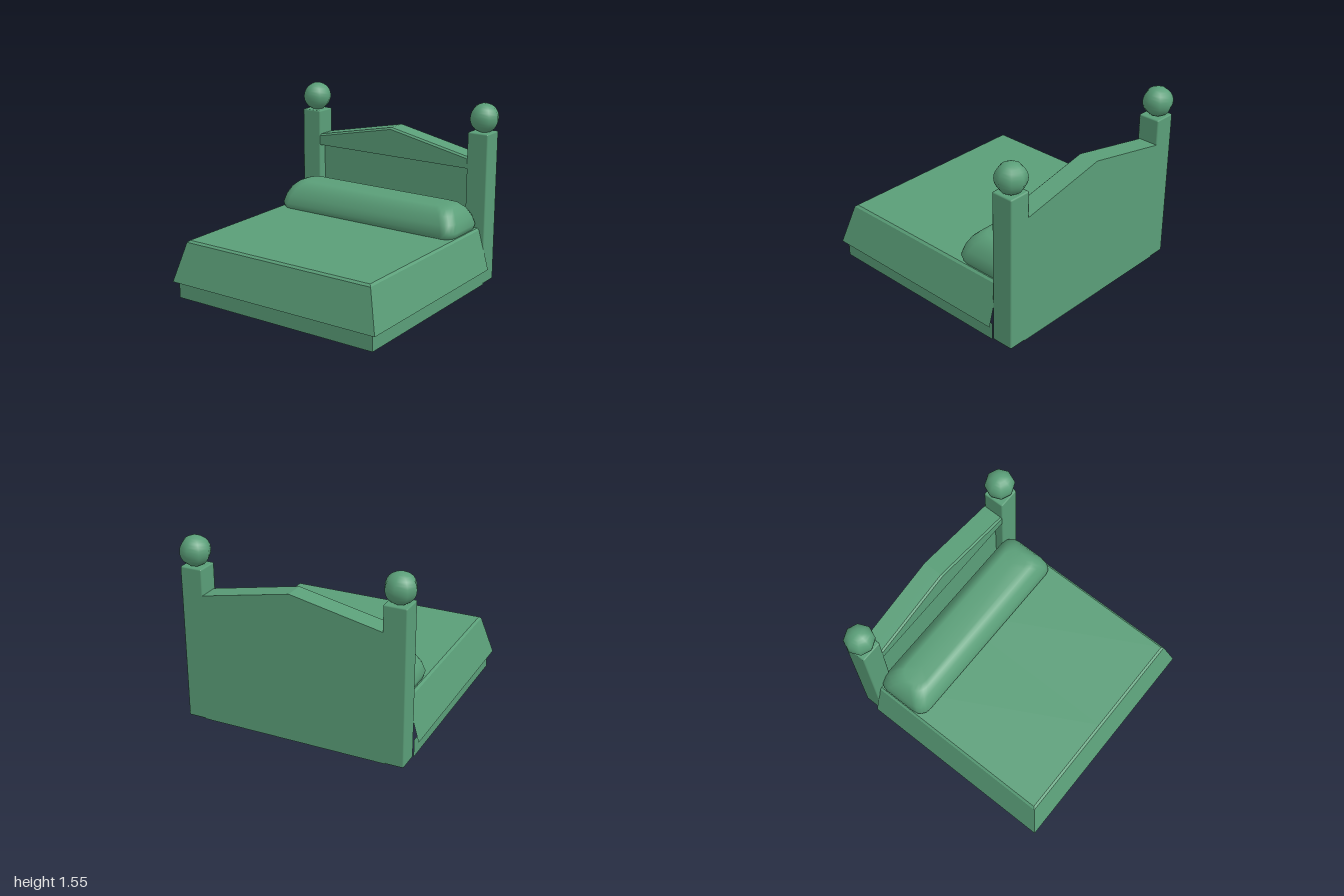
import * as THREE from 'three';
import { RoundedBoxGeometry } from 'three/addons/geometries/RoundedBoxGeometry.js';

const material = new THREE.MeshStandardMaterial({ color: 0x5a9e78 });
const thinMaterial = new THREE.MeshStandardMaterial({ color: 0x5a9e78, side: THREE.DoubleSide });

function addPart(parent, name, geometry, mat = material) {
  const mesh = new THREE.Mesh(geometry, mat);
  mesh.name = name;
  parent.add(mesh);
  return mesh;
}

// Skin a stack of rings (lists of [x, y, z]), bottom ring first
function loft(rings, closed, smooth) {
  const n = rings[0].length;
  const index = [];
  for (let r = 0; r + 1 < rings.length; r++) {
    for (let i = 0; i < (closed ? n : n - 1); i++) {
      const a = r * n + i, b = r * n + (i + 1) % n;
      index.push(a, b, b + n, a, b + n, a + n);
    }
  }
  let geometry = new THREE.BufferGeometry();
  geometry.setAttribute('position', new THREE.Float32BufferAttribute(rings.flat(2), 3));
  geometry.setIndex(index);
  if (!smooth) geometry = geometry.toNonIndexed();
  geometry.computeVertexNormals();
  return geometry;
}

// U-shaped ring around the foot of the bed, open at the head
const uRing = (x, front, y, back) => [[-x, y, back], [-x, y, front], [x, y, front], [x, y, back]];

// Rounded rectangle ring for the pillow
function pillowRing(inset, y) {
  const r = 0.1, hw = 0.885 - inset - r, hd = 0.245 - inset - r, points = [];
  for (let corner = 0; corner < 4; corner++) {
    for (let s = 0; s <= 4; s++) {
      const t = (corner + s / 4) * Math.PI / 2;
      const sx = corner === 0 || corner === 3 ? 1 : -1;
      const sz = corner < 2 ? -1 : 1;
      points.push([sx * hw + r * Math.cos(t), y, sz * hd - r * Math.sin(t)]);
    }
  }
  return points;
}

export function createModel() {
  const bed = new THREE.Group();
  bed.name = 'bed';

  // Low frame, open underneath
  addPart(bed, 'bedFrame', loft([uRing(0.955, 0.95, 0, -0.76), uRing(0.955, 0.95, 0.15, -0.76)], false, false), thinMaterial);

  // Flared blanket with a narrow bevel round the top
  const back = -0.765;
  addPart(bed, 'blanket', loft([
    uRing(0.995, 0.985, 0.14, back),
    uRing(0.9, 0.9, 0.478, back),
    uRing(0.882, 0.88, 0.494, back),
    [[0, 0.494, back], [0, 0.494, 0.88], [0, 0.494, 0.88], [0, 0.494, back]],
  ], false, false), thinMaterial);

  // Bolster pillow
  const profile = [[0.015, 0.485], [0, 0.54], [0.02, 0.61], [0.055, 0.675], [0.1, 0.718], [0.14, 0.733]];
  const rings = profile.map(([inset, y]) => pillowRing(inset, y));
  const collapse = (ring) => ring.map(([x, y]) => [x * 0.9, y, 0]);
  const pillow = addPart(bed, 'pillow', loft([collapse(rings[0]), ...rings, collapse(rings[5])], true, true));
  pillow.position.z = -0.545;

  // Headboard: recessed panel under a gabled rail
  const headboard = new THREE.Group();
  headboard.name = 'headboard';
  bed.add(headboard);
  const panel = addPart(headboard, 'headboardPanel', new THREE.BoxGeometry(1.6, 1.0, 0.11));
  panel.position.set(0, 0.5, -0.893);

  const gable = new THREE.Shape([[-0.8, 0.995], [0.8, 0.995], [0.8, 1.086], [0, 1.25], [-0.8, 1.086]]
    .map(([x, y]) => new THREE.Vector2(x, y)));
  const depth = 0.185;
  const railGeometry = new THREE.ExtrudeGeometry(gable, { depth, steps: 12, bevelEnabled: false });
  const p = railGeometry.attributes.position;
  for (let i = 0; i < p.count; i++) {
    // chamfer the upper front edge
    if (p.getZ(i) > depth - 0.001 && p.getY(i) > 1.02) p.setY(i, p.getY(i) - 0.016);
  }
  railGeometry.computeVertexNormals();
  addPart(headboard, 'headboardRail', railGeometry).position.z = -0.948;

  // Posts with ball finials
  for (const side of [-1, 1]) {
    const post = addPart(headboard, side > 0 ? 'leftPost' : 'rightPost', new RoundedBoxGeometry(0.19, 1.31, 0.19, 1, 0.012));
    post.position.set(side * 0.855, 0.655, -0.853);
    const ball = addPart(headboard, side > 0 ? 'leftFinial' : 'rightFinial', new THREE.SphereGeometry(0.125, 8, 14));
    ball.position.set(side * 0.86, 1.425, -0.86);
  }
  return bed;
}
